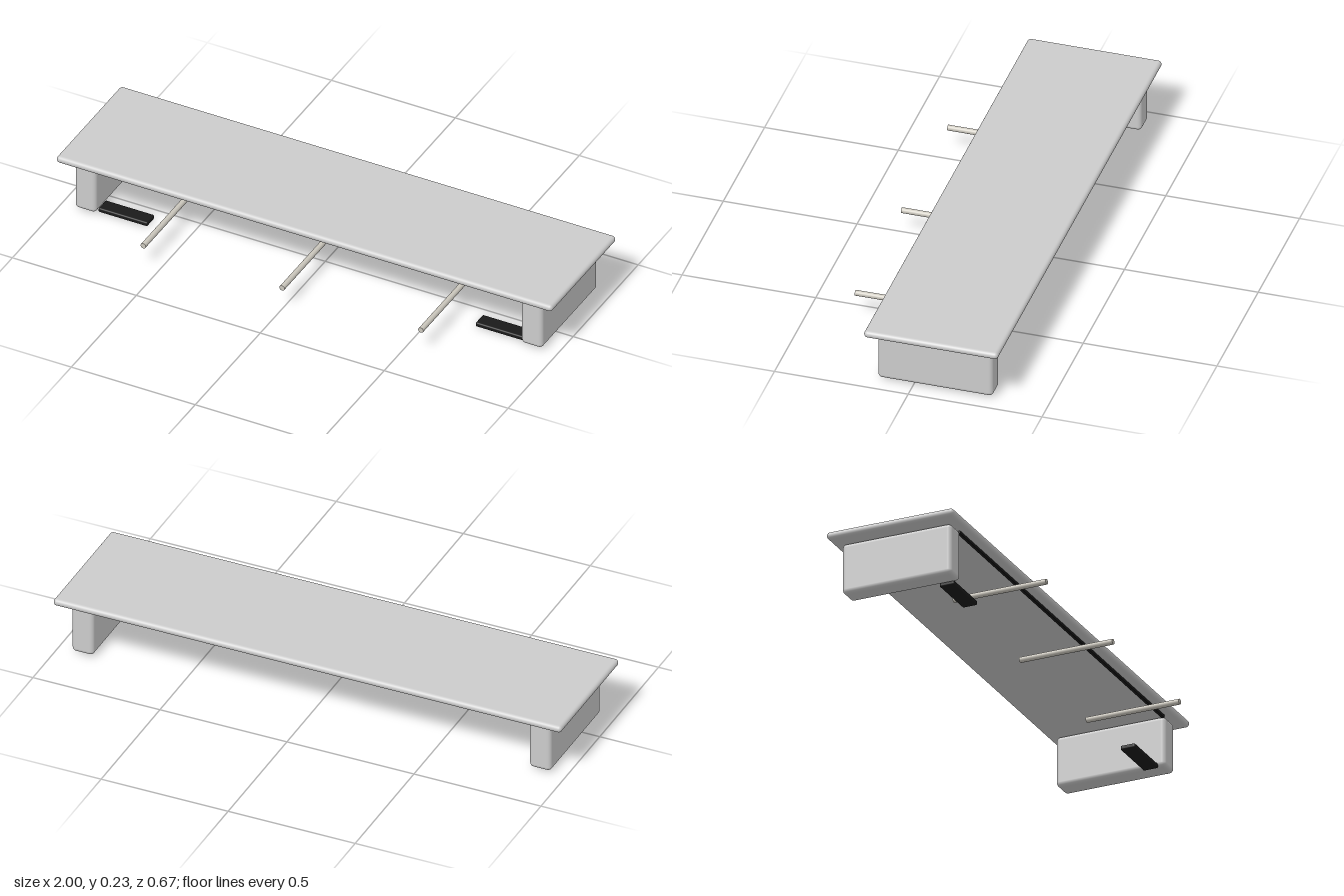
import * as THREE from 'three';
import { RoundedBoxGeometry } from 'three/addons/geometries/RoundedBoxGeometry.js';

const grey = new THREE.MeshStandardMaterial({ color: 0xcccccc });
const black = new THREE.MeshStandardMaterial({ color: 0x1a1a1a });
const steel = new THREE.MeshStandardMaterial({ color: 0xccc8be });

// Rounded block given by its min and max corners
function block(name, min, max, radius, material) {
  const size = max.map((v, i) => v - min[i]);
  const mesh = new THREE.Mesh(new RoundedBoxGeometry(...size, 5, radius), material);
  mesh.position.set(...max.map((v, i) => (v + min[i]) / 2));
  mesh.name = name;
  return mesh;
}

export function createModel() {
  const model = new THREE.Group();
  model.name = 'wallShelf';

  // Long top board with rounded edges
  model.add(block('topBoard', [-1, 0.209, -0.333], [1, 0.236, 0.168], 0.0134, grey));

  // Thin dark strip under the front of the board
  model.add(block('frontStrip', [-0.86, 0.197, 0.12], [0.86, 0.209, 0.132], 0.002, black));

  // Side supports, each with a flat dark foot pointing inwards
  for (const [side, s] of [['left', 1], ['right', -1]]) {
    const support = block(side + 'Support', [0.858, 0.01, -0.297], [0.943, 0.205, 0.133], 0.016, grey);
    const foot = block(side + 'Foot', [0.662, 0.002, 0.05], [0.86, 0.02, 0.108], 0.006, black);
    for (const part of [support, foot]) {
      part.position.x *= s;
      model.add(part);
    }
  }

  // Three round rods reaching out to the front
  const rodGeometry = new THREE.CylinderGeometry(0.0105, 0.0105, 0.367, 24).rotateX(Math.PI / 2);
  for (const x of [-0.56, 0, 0.56]) {
    const rod = new THREE.Mesh(rodGeometry, steel);
    rod.position.set(x, 0.094, 0.1495);
    rod.name = 'rod';
    model.add(rod);
  }
  return model;
}
